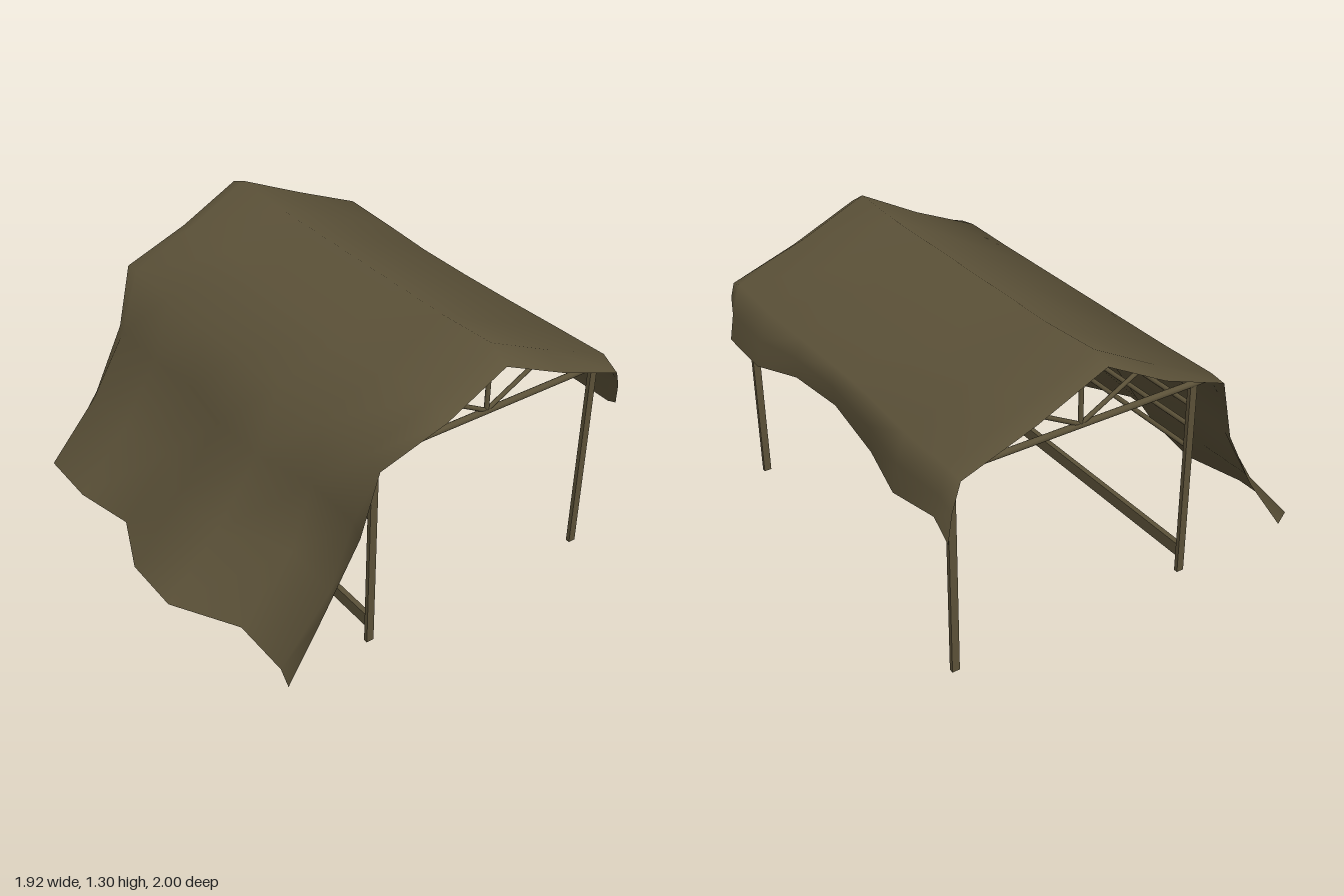
import * as THREE from 'three';

const canvas = new THREE.MeshStandardMaterial({ color: 0x5b5138, side: THREE.DoubleSide });
canvas.name = 'olive brown';

const LEFT = -0.318, RIGHT = 0.852, FRONT = 0.88, BACK = -0.87;

function add(group, name, geometry, x, y, z) {
  const mesh = new THREE.Mesh(geometry, canvas);
  mesh.name = name;
  mesh.position.set(x, y, z);
  group.add(mesh);
  return mesh;
}

// Round pole between two points
function pole(group, name, a, b, radius) {
  const from = new THREE.Vector3(...a), to = new THREE.Vector3(...b);
  const dir = to.clone().sub(from);
  const mid = from.clone().add(to).multiplyScalar(0.5);
  const mesh = add(group, name, new THREE.CylinderGeometry(radius, radius, dir.length(), 10), mid.x, mid.y, mid.z);
  mesh.quaternion.setFromUnitVectors(new THREE.Vector3(0, 1, 0), dir.normalize());
}

// Draped cloth: one cross-section per station along z
function clothGeometry() {
  // z, long hem x, billow of the long side, short hem x, short hem y, roof lift
  const stations = [
    [1.0, -0.81, 0.6, 0.89, 0.82, -0.045],
    [0.9, -0.78, 0.1, 0.955, 0.75, 0.015],
    [0.6, -0.78, 0, 0.96, 0.75, 0],
    [0.3, -0.96, 0.9, 0.91, 0.82, 0],
    [0.0, -0.96, 1, 0.88, 0.82, 0],
    [-0.3, -0.84, 0.4, 0.88, 0.75, 0],
    [-0.6, -0.91, 0.7, 0.95, 0.75, 0],
    [-0.91, -0.91, 0.7, 0.95, 0.82, 0.02],
    [-1.0, -0.82, 0.5, 0.915, 0.7, -0.015],
  ];
  // The back edge is pulled in toward both hems
  const pullIn = [0.04, 0.04, 0.03, 0.01, 0, 0, 0, 0.01, 0.03, 0.05];
  const positions = [], index = [];
  for (const [z, hemL, billow, hemR, hemY, lift] of stations) {
    const eaveR = 0.87 + 0.25 * (hemR - 0.88);
    const section = [
      [hemL, 0.1],
      [-0.52 - 0.2 * billow, 0.39],
      [-0.42 - 0.08 * billow, 0.7],
      [-0.38, 1.0 + lift * 0.3],
      [-0.06, 1.13 + lift],
      [0.23, 1.285 + lift],
      [0.55, 1.14 + lift],
      [eaveR, 1.005 + lift * 0.6],
      [(eaveR + hemR) / 2 + 0.01, (1 + hemY) / 2],
      [hemR, hemY],
    ];
    section.forEach(([x, y], i) => positions.push(x, y, z === -1 ? z + pullIn[i] : z));
  }
  const n = pullIn.length;
  for (let r = 0; r < stations.length - 1; r++) {
    for (let c = 0; c < n - 1; c++) {
      const a = r * n + c, b = a + 1, d = a + n, e = d + 1;
      index.push(a, b, d, b, e, d);
    }
  }
  const geometry = new THREE.BufferGeometry();
  geometry.setAttribute('position', new THREE.Float32BufferAttribute(positions, 3));
  geometry.setIndex(index);
  geometry.computeVertexNormals();
  return geometry;
}

export function createModel() {
  const model = new THREE.Group();
  model.name = 'canvasShelter';
  add(model, 'clothCover', clothGeometry(), 0, 0, 0);

  // Posts and roof truss at each end
  for (const [end, z] of [['front', FRONT], ['back', BACK]]) {
    const frame = new THREE.Group();
    frame.name = end + 'Frame';
    for (const x of [LEFT, RIGHT]) {
      add(frame, 'post', new THREE.BoxGeometry(0.035, 0.96, 0.02), x, 0.48, z);
    }
    pole(frame, 'crossBeam', [-0.375, 0.957, z], [0.855, 0.957, z], 0.015);
    pole(frame, 'kingPost', [0.253, 0.957, z], [0.253, 1.245, z], 0.011);
    for (const side of [-1, 1]) {
      pole(frame, 'brace', [0.253, 0.96, z], [0.253 + side * 0.27, 1.105, z], 0.01);
    }
    model.add(frame);
  }

  // Rails along the long draped side
  for (const y of [0.65, 0.755, 0.855, 0.95]) {
    pole(model, 'sideRail', [LEFT, y, FRONT], [LEFT, y, BACK], y > 0.9 ? 0.016 : 0.011);
  }
  add(model, 'lowRail', new THREE.BoxGeometry(0.025, 0.062, FRONT - BACK), LEFT, 0.108, (FRONT + BACK) / 2);

  return model;
}
